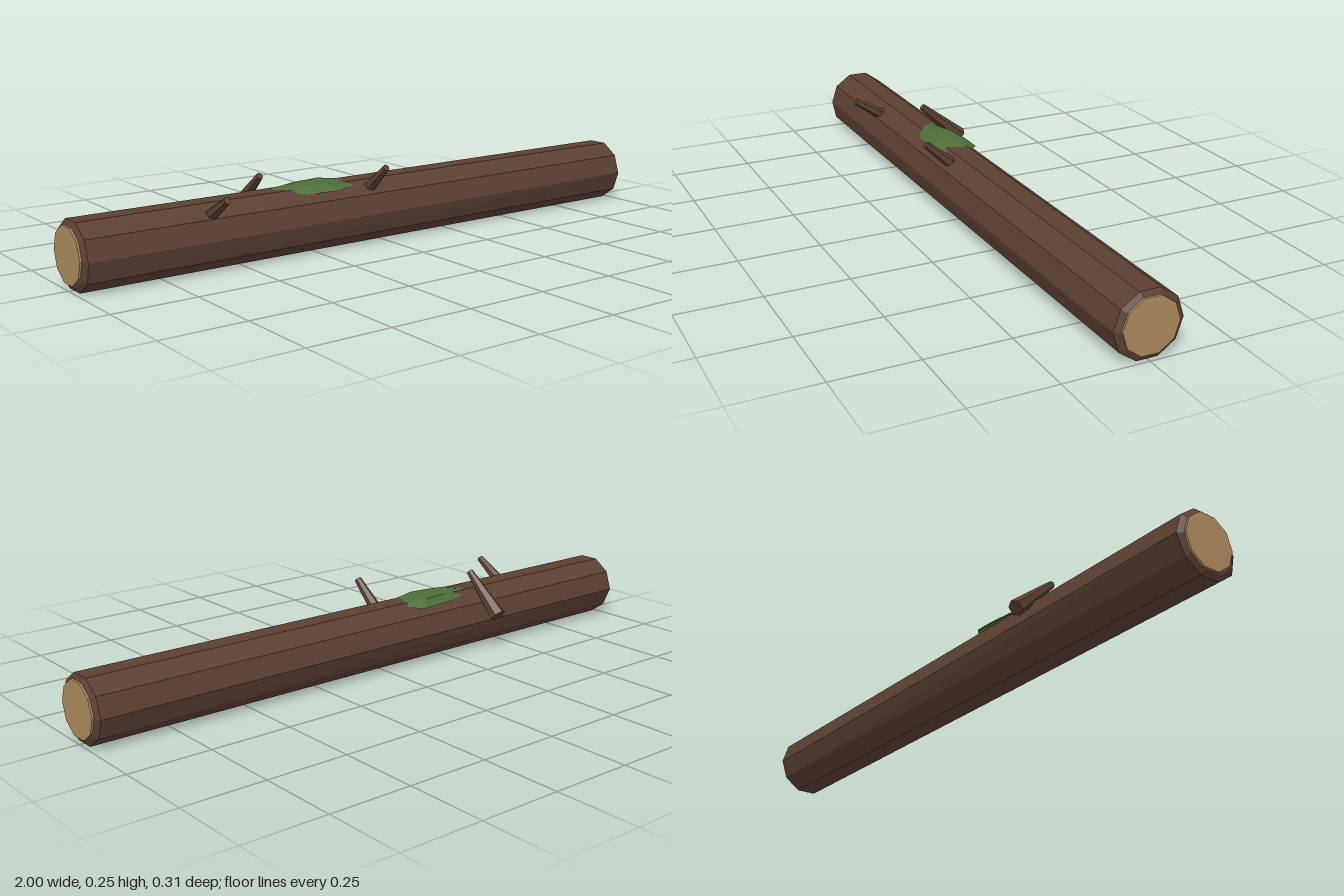
import * as THREE from 'three';

const bark = new THREE.MeshStandardMaterial({ color: 0x5c4033 });
bark.name = 'bark';
const cutWood = new THREE.MeshStandardMaterial({ color: 0xac8a5e });
cutWood.name = 'cutWood';
const mossGreen = new THREE.MeshStandardMaterial({ color: 0x4d6e38 });
mossGreen.name = 'mossGreen';

// Faceted mesh: every face gets its own flat normal
function facetedMesh(name, geometry, material) {
  const flat = geometry.index ? geometry.toNonIndexed() : geometry;
  flat.computeVertexNormals();
  const mesh = new THREE.Mesh(flat, material);
  mesh.name = name;
  return mesh;
}

// Ten-sided trunk with narrow bevels, slightly uneven underneath at the right end
function trunkGeometry() {
  const profile = [[0, -0.994], [0.086, -0.994], [0.102, -0.985], [0.102, 0.985], [0.086, 0.994], [0, 0.994]]
    .map(([r, x]) => new THREE.Vector2(r, x));
  const geometry = new THREE.LatheGeometry(profile, 10);
  geometry.rotateZ(-Math.PI / 2);
  const p = geometry.attributes.position;
  for (let i = 0; i < p.count; i++) {
    const y = p.getY(i);
    const uneven = p.getX(i) < 0 && y < -0.03 ? 0.007 : 0;
    p.setXYZ(i, p.getX(i), y * 0.98 + 0.1, p.getZ(i) + uneven);
  }
  return geometry;
}

// Tapered broken branch between two points
function stub(name, base, tip, baseRadius, tipRadius) {
  const a = new THREE.Vector3(...base);
  const b = new THREE.Vector3(...tip);
  const axis = b.clone().sub(a);
  const geometry = new THREE.CylinderGeometry(tipRadius, baseRadius, axis.length(), 6);
  const mesh = facetedMesh(name, geometry, bark);
  mesh.quaternion.setFromUnitVectors(new THREE.Vector3(0, 1, 0), axis.normalize());
  mesh.position.copy(a).add(b).multiplyScalar(0.5);
  return mesh;
}

// Shallow faceted mound: outline ring, smaller upper ring and a peak
function mossGeometry() {
  const outline = [
    [-0.385, 0.192, -0.025], [-0.365, 0.185, 0.036], [-0.26, 0.180, 0.058], [-0.17, 0.180, 0.067],
    [-0.10, 0.186, 0.045], [-0.08, 0.190, -0.025], [-0.14, 0.179, -0.076], [-0.28, 0.180, -0.062],
  ];
  const centre = [-0.22, 0.206, -0.003];
  const upper = outline.map(([x, , z]) => [
    centre[0] + (x - centre[0]) * 0.62, 0.2, centre[2] + (z - centre[2]) * 0.66,
  ]);
  const under = [-0.22, 0.175, -0.003];
  const points = [];
  const n = outline.length;
  for (let i = 0; i < n; i++) {
    const j = (i + 1) % n;
    points.push(...outline[i], ...outline[j], ...upper[j]);
    points.push(...outline[i], ...upper[j], ...upper[i]);
    points.push(...upper[i], ...upper[j], ...centre);
    points.push(...outline[j], ...outline[i], ...under);
  }
  const geometry = new THREE.BufferGeometry();
  geometry.setAttribute('position', new THREE.Float32BufferAttribute(points, 3));
  return geometry;
}

export function createModel() {
  const group = new THREE.Group();
  group.name = 'fallenLog';
  group.add(facetedMesh('trunk', trunkGeometry(), bark));

  // Pale sawn ends
  for (const side of [-1, 1]) {
    const disc = new THREE.CylinderGeometry(0.083, 0.083, 0.012, 10);
    disc.rotateZ(-Math.PI / 2);
    const cap = facetedMesh(side > 0 ? 'leftCutEnd' : 'rightCutEnd', disc, cutWood);
    cap.position.set(side * 0.994, 0.102, 0);
    group.add(cap);
  }

  // Broken branches
  group.add(stub('frontStubOuter', [-0.6, 0.165, 0.06], [-0.6, 0.223, 0.152], 0.019, 0.011));
  group.add(stub('frontStubInner', [-0.05, 0.172, 0.05], [-0.05, 0.246, 0.135], 0.019, 0.011));
  group.add(stub('backStub', [-0.4, 0.123, -0.14], [-0.4, 0.241, -0.006], 0.025, 0.011));

  group.add(facetedMesh('mossPatch', mossGeometry(), mossGreen));
  return group;
}
